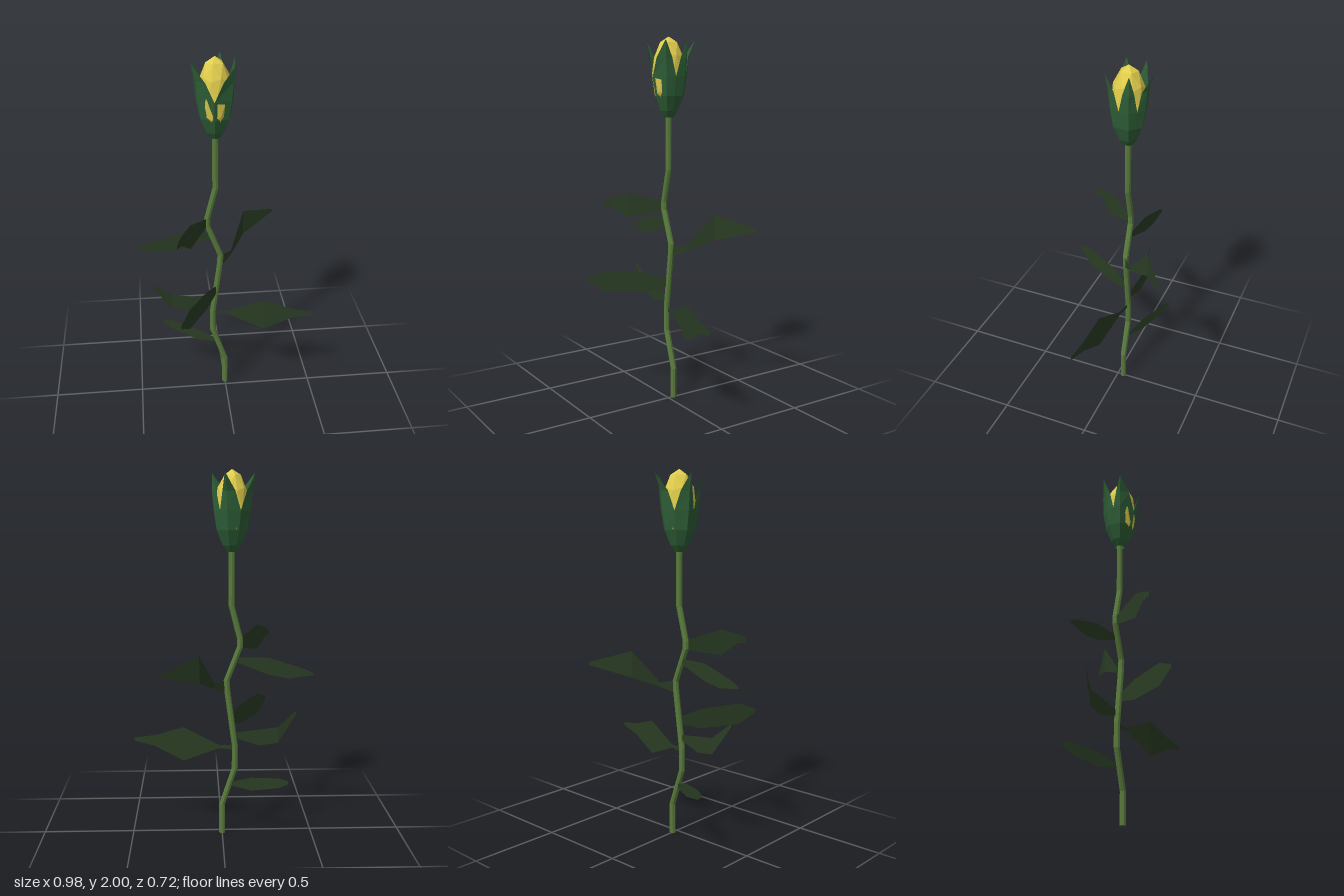
import * as THREE from 'three';

const material = (color, side = THREE.FrontSide) =>
  new THREE.MeshStandardMaterial({ color, side, flatShading: true, roughness: 0.9 });

// Surface through rows of points, all rows having the same count
function sheet(rows) {
  const n = rows[0].length, index = [];
  for (let r = 0; r < rows.length - 1; r++) {
    for (let c = 0; c < n - 1; c++) {
      const a = r * n + c, b = a + n;
      index.push(a, b, a + 1, a + 1, b, b + 1);
    }
  }
  const geo = new THREE.BufferGeometry();
  geo.setAttribute('position', new THREE.Float32BufferAttribute(rows.flat(2), 3));
  geo.setIndex(index);
  geo.computeVertexNormals();
  return geo;
}

// Leaf blades: stations from stem to tip as [x, z, lower y, upper y]
const LEAVES = [
  [[-0.055, -0.05, 0.28, 0.305], [-0.16, -0.1, 0.27, 0.345], [-0.305, -0.173, 0.31, 0.365], [-0.35, -0.195, 0.34, 0.355]],
  [[-0.07, -0.035, 0.485, 0.51], [0.018, -0.02, 0.49, 0.51], [0.215, 0.025, 0.405, 0.6], [0.375, 0.05, 0.485, 0.548], [0.49, 0.07, 0.51, 0.53]],
  [[-0.07, -0.04, 0.555, 0.585], [-0.2, -0.052, 0.515, 0.605], [-0.305, -0.06, 0.53, 0.62], [-0.41, -0.035, 0.69, 0.71]],
  [[-0.045, -0.03, 0.64, 0.68], [-0.11, 0.08, 0.605, 0.715], [-0.22, 0.275, 0.61, 0.73], [-0.27, 0.36, 0.67, 0.69]],
  [[-0.02, -0.03, 0.81, 0.88], [0.04, -0.09, 0.845, 0.87], [0.125, -0.22, 0.905, 1.05], [0.315, -0.36, 0.97, 0.985]],
  [[-0.08, -0.045, 0.98, 1.01], [-0.25, -0.06, 0.915, 1.01], [-0.36, -0.067, 0.895, 0.975], [-0.455, -0.077, 0.91, 0.945], [-0.49, -0.08, 0.915, 0.925]],
  [[-0.1, -0.03, 1.06, 1.11], [-0.2, 0.135, 1.02, 1.16], [-0.25, 0.205, 1.08, 1.135], [-0.275, 0.25, 1.085, 1.11]],
];

// Stem bends as [x, y], top to bottom
const STEM = [[-0.05, 1.6], [-0.05, 1.29], [-0.096, 1.11], [-0.096, 1.065], [-0.025, 0.88],
  [-0.027, 0.83], [-0.07, 0.51], [-0.07, 0.38], [0, 0.17], [0, 0]];
const STEM_Z = -0.035;

function makeStem() {
  const sides = 8;
  const geo = new THREE.CylinderGeometry(0.017, 0.017, 1, sides, STEM.length - 1);
  const pos = geo.attributes.position;
  for (let i = 0; i < pos.count; i++) {
    const row = Math.round((0.5 - pos.getY(i)) * (STEM.length - 1));
    const [x, y] = STEM[row];
    pos.setXYZ(i, pos.getX(i) + x, y, pos.getZ(i) + STEM_Z);
  }
  geo.computeVertexNormals();
  return new THREE.Mesh(geo, material(0x587a3c));
}

// Sepals: angle around the bud (degrees, +x towards +z) and radius of the tip
const SEPALS = [[-74, 0.145], [-22, 0.112], [40, 0.13], [153, 0.135], [200, 0.13]];
// Sepal profile: [y, ridge radius, edge radius, share of the gap to the neighbour]
const PROFILE = [[1.575, 0.025, 0.025, 1], [1.61, 0.052, 0.048, 1], [1.69, 0.086, 0.078, 1],
  [1.79, 0.103, 0.095, 1], [1.89, 0.113, 0.103, 0.55]];

function makeSepal(i) {
  const n = SEPALS.length, [angle, tipRadius] = SEPALS[i];
  const halfGap = (step) => {
    const d = SEPALS[(i + step + n) % n][0] - angle;
    return ((d * step + 720) % 360) / 2 * step;
  };
  const point = (deg, r, y) => {
    const a = THREE.MathUtils.degToRad(deg);
    return [r * Math.cos(a), y, r * Math.sin(a)];
  };
  const rows = PROFILE.map(([y, ridge, edge, share]) => [
    point(angle + halfGap(1) * share, edge, y),
    point(angle, ridge, y),
    point(angle + halfGap(-1) * share, edge, y),
  ]);
  // A narrow tip
  rows.push([1, 0, -1].map((s) => point(angle + s, tipRadius, 1.977)));
  // Outward faces: columns run against the angle, rows run upward
  rows.forEach((row) => row.reverse());
  return sheet(rows);
}

export function createModel() {
  const flower = new THREE.Group();
  flower.name = 'flower';
  const add = (mesh, name, parent = flower) => {
    mesh.name = name;
    parent.add(mesh);
    return mesh;
  };

  add(makeStem(), 'stem');

  // Thin upright leaves along the stem
  const leafMaterial = material(0x2a3d24, THREE.DoubleSide);
  LEAVES.forEach((stations, i) => {
    const rows = stations.map(([x, z, low, high]) => [[x, low, z], [x, high, z]]);
    add(new THREE.Mesh(sheet(rows), leafMaterial), `leaf${i + 1}`);
  });

  // Bud: faceted yellow heart held by five pointed sepals
  const bud = add(new THREE.Group(), 'bud');
  bud.position.set(-0.05, 0, STEM_Z);
  const heart = new THREE.IcosahedronGeometry(1, 1);
  heart.rotateZ(Math.atan(2 / (1 + Math.sqrt(5))));
  heart.scale(0.088, 0.2, 0.091);
  heart.translate(0, 1.8, 0);
  add(new THREE.Mesh(heart, material(0xe0cc4c)), 'petals', bud);

  const sepalMaterial = material(0x2f6038, THREE.DoubleSide);
  SEPALS.forEach((_, i) => add(new THREE.Mesh(makeSepal(i), sepalMaterial), `sepal${i + 1}`, bud));

  return flower;
}
